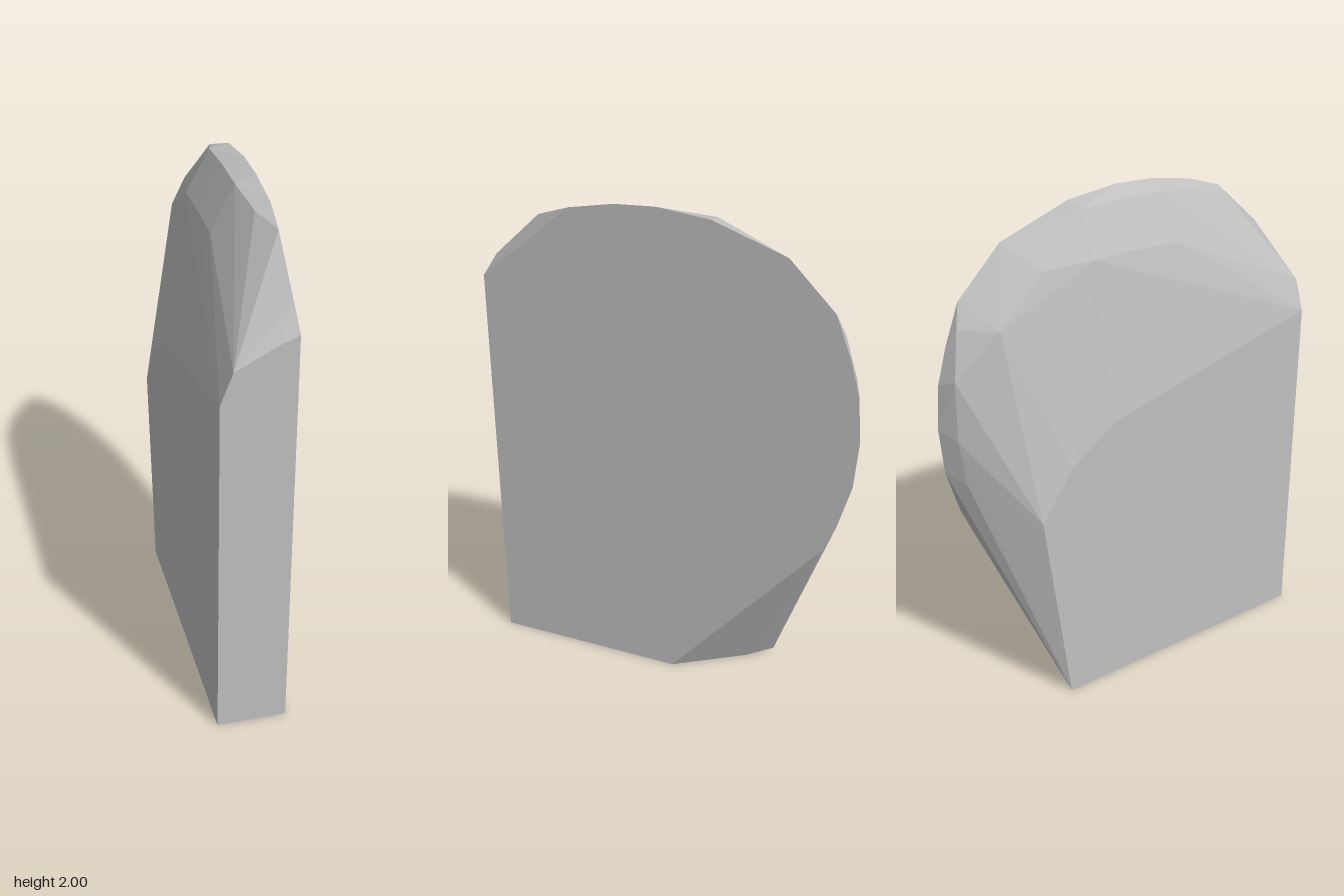
import * as THREE from 'three';
import { ConvexGeometry } from 'three/addons/geometries/ConvexGeometry.js';

export function createModel() {
  const grey = new THREE.MeshStandardMaterial({ color: 0xc0c0c0 });
  grey.name = 'plain grey';
  const W = 0.135; // half thickness

  // Rounded outline of the flat +x side, as [z, y]
  const outerRim = [
    [0.755, 0], [0.755, 1.64], [0.38, 1.955], [0.2, 1.99], [0.04, 2], [-0.17, 1.98],
    [-0.46, 1.88], [-0.64, 1.7], [-0.7, 1.54], [-0.74, 1.4], [-0.755, 1.22],
    [-0.74, 1.03], [-0.69, 0.85], [-0.64, 0.73], [-0.02, 0],
  ];
  // Smaller flat on the -x side
  const innerFlat = [
    [0.755, 0], [0.755, 1.41], [-0.15, 1.19], [-0.35, 1.05], [-0.485, 0.85], [-0.38, 0],
  ];
  // Bevel ridges between the two flats, as [x, y, z]
  const bevel = [
    [0.06, 1.96, 0.2], [0.06, 1.97, 0.02], [0.06, 1.965, -0.17],
    [0.1, 1.61, -0.67], [0.06, 1.43, -0.71], [0.06, 1.19, -0.715], [0.06, 1, -0.69],
    [-0.03, 1.79, 0.2], [-0.03, 1.8, 0.02], [-0.03, 1.8, -0.17],
    [0.01, 1.79, -0.36], [0, 1.61, -0.55],
  ];
  // Blunt front corner and the cut at the lower back
  const corners = [
    [-0.09, 1.53, 0.755], [0.06, 1.61, 0.755], [0.12, 1.73, 0.7], [0.125, 1.91, 0.51],
    [0.08, 1.93, 0.38], [-0.045, 0, -0.29],
  ];

  const points = [
    ...outerRim.map(([z, y]) => new THREE.Vector3(W, y, z)),
    ...innerFlat.map(([z, y]) => new THREE.Vector3(-W, y, z)),
    ...[...bevel, ...corners].map((p) => new THREE.Vector3(...p)),
  ];

  const body = new THREE.Mesh(new ConvexGeometry(points), grey);
  body.name = 'bevelledSlab';
  const group = new THREE.Group();
  group.name = 'roundedSlab';
  group.add(body);
  return group;
}
